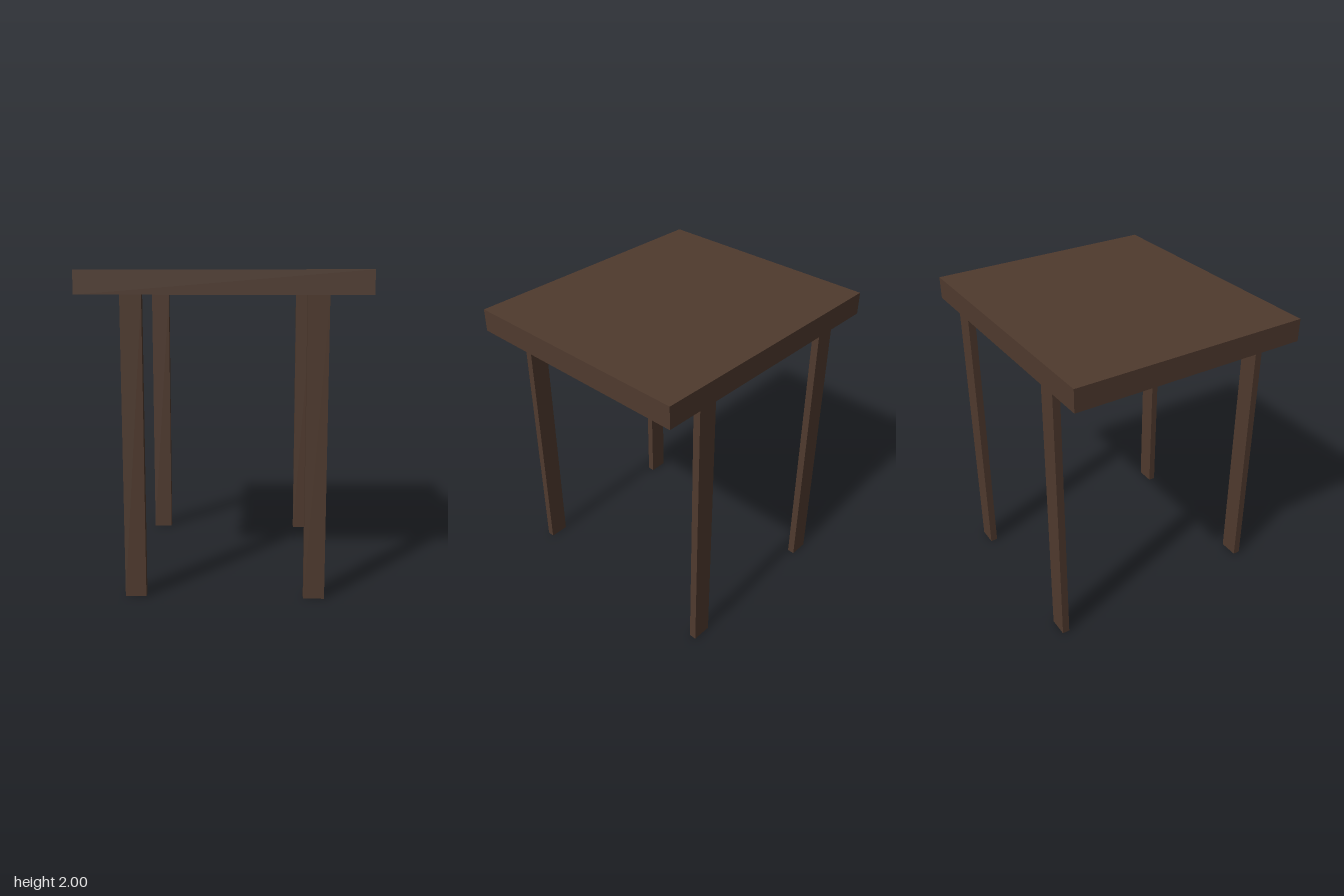
import * as THREE from 'three';

export function createModel() {
  const model = new THREE.Group();
  model.name = 'table';
  const wood = new THREE.MeshStandardMaterial({ color: 0x4f3a2e });

  // Adds a box given its size, centre and the height of its underside
  const addBox = (name, [w, h, d], x, bottom, z) => {
    const mesh = new THREE.Mesh(new THREE.BoxGeometry(w, h, d), wood);
    mesh.name = name;
    mesh.position.set(x, bottom + h / 2, z);
    model.add(mesh);
  };

  // Thick slab top
  const legHeight = 1.855;
  addBox('tableTop', [1.752, 2 - legHeight, 1.55], 0, legHeight, 0);

  // Four flat legs, set slightly off centre under the top
  for (const [side, x] of [['Left', 0.557], ['Right', -0.544]]) {
    for (const [end, z] of [['front', 0.73], ['back', -0.734]]) {
      addBox(`${end}${side}Leg`, [0.129, legHeight, 0.048], x, 0, z);
    }
  }
  return model;
}
